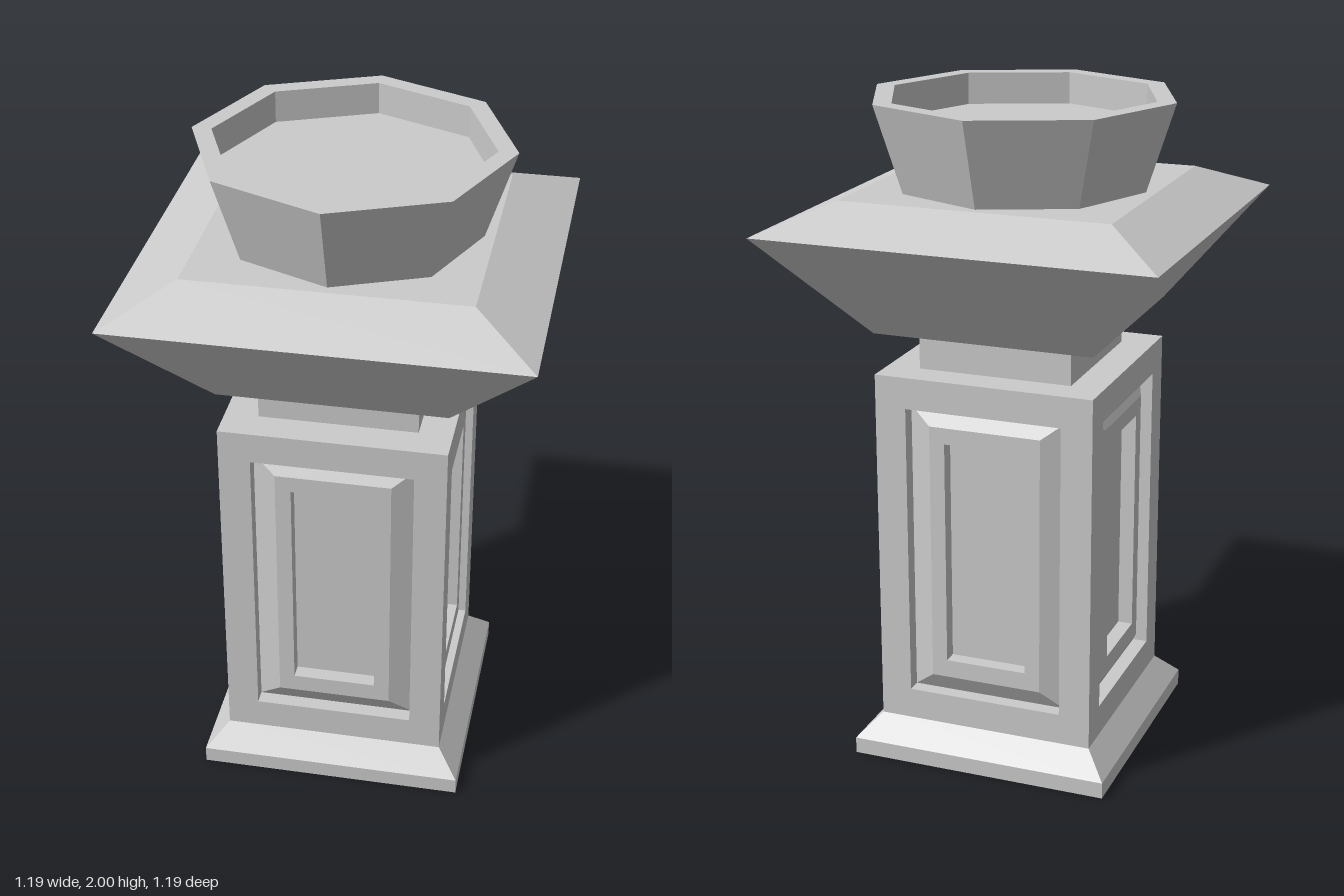
import * as THREE from 'three';

const material = new THREE.MeshStandardMaterial({ color: 0xcccccc, flatShading: true });

function makeMesh(name, geometry) {
  const mesh = new THREE.Mesh(geometry, material);
  mesh.name = name;
  return mesh;
}

// Faceted solid from a [radius, y] profile, listed from bottom to top
function faceted(profile, sides) {
  const points = profile.map(([r, y]) => new THREE.Vector2(r, y));
  const geometry = new THREE.LatheGeometry(points, sides).toNonIndexed();
  geometry.computeVertexNormals();
  return geometry;
}

// Square solid from a [half width, y] profile
function square(profile) {
  const scaled = profile.map(([half, y]) => [half * Math.SQRT2, y]);
  return faceted(scaled, 4).rotateY(Math.PI / 4);
}

// Nested rectangles [half width, bottom, top, z], joined in order and closed by the last
function panelFace(rings) {
  const loops = rings.map(([w, y0, y1, z]) => [[-w, y0, z], [w, y0, z], [w, y1, z], [-w, y1, z]]);
  const positions = [];
  const quad = (a, b, c, d) => positions.push(...a, ...b, ...c, ...a, ...c, ...d);
  for (let i = 0; i < loops.length - 1; i++) {
    for (let k = 0; k < 4; k++) {
      const n = (k + 1) % 4;
      quad(loops[i][k], loops[i][n], loops[i + 1][n], loops[i + 1][k]);
    }
  }
  quad(...loops[loops.length - 1]);
  const geometry = new THREE.BufferGeometry();
  geometry.setAttribute('position', new THREE.Float32BufferAttribute(positions, 3));
  geometry.computeVertexNormals();
  return geometry;
}

export function createModel() {
  const model = new THREE.Group();
  model.name = 'pedestal';

  // Foot with sloped shoulder
  model.add(makeMesh('base', square([[0, 0], [0.4, 0], [0.4, 0.05], [0.335, 0.12], [0, 0.12]])));

  // Shaft: four equal faces with a raised, bevelled panel and a sunken centre
  const half = 0.335;
  const face = panelFace([
    [half, 0.12, 1.215, half],
    [0.24, 0.215, 1.12, half],
    [0.24, 0.215, 1.12, half - 0.045],
    [0.172, 0.27, 1.07, half - 0.015],
    [0.125, 0.325, 1.02, half - 0.015],
    [0.125, 0.325, 1.02, half - 0.06],
  ]);
  const shaft = new THREE.Group();
  shaft.name = 'shaft';
  for (let i = 0; i < 4; i++) {
    const side = makeMesh('shaftPanel', face);
    side.rotation.y = i * Math.PI / 2;
    shaft.add(side);
  }
  const ledge = makeMesh('shaftTop', new THREE.PlaneGeometry(2 * half, 2 * half).rotateX(-Math.PI / 2));
  ledge.position.y = 1.215;
  shaft.add(ledge);
  model.add(shaft);

  // Neck between shaft and capital
  const neck = makeMesh('neck', new THREE.BoxGeometry(0.47, 0.125, 0.47));
  neck.position.y = 1.2775;
  model.add(neck);

  // Wide flared capital
  model.add(makeMesh('capital', square([[0, 1.34], [0.335, 1.34], [0.593, 1.658], [0.405, 1.74], [0, 1.74]])));

  // Octagonal bowl with a shallow, straight-walled hollow
  model.add(makeMesh('bowl', faceted(
    [[0, 1.74], [0.375, 1.74], [0.46, 2], [0.403, 2], [0.403, 1.905], [0, 1.905]], 8)));

  return model;
}
